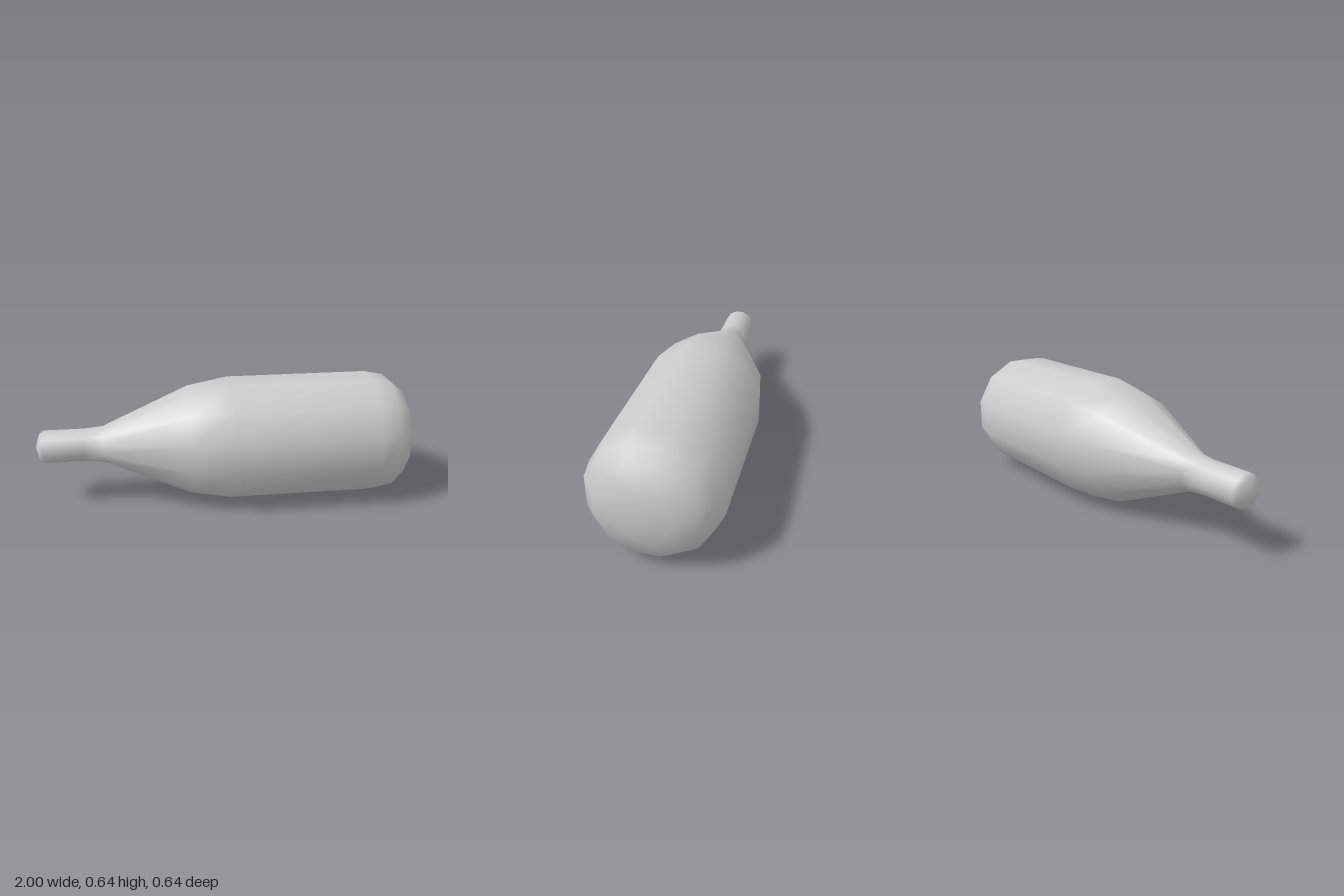
import * as THREE from 'three';
import { mergeVertices } from 'three/addons/utils/BufferGeometryUtils.js';

const SIDES = 12;
const HALF_HEIGHT = 0.318;

// Profile along the bottle: [position on x, distance from axis to a flat side]
const PROFILE = [
  [-1, 0], [-0.978, 0.066], [-0.955, 0.083], // closed mouth
  [-0.75, 0.083], [-0.65, 0.092],            // neck
  [-0.2, 0.28], [0.015, HALF_HEIGHT],        // shoulder
  [0.77, HALF_HEIGHT],                       // body
  [0.872, 0.3], [0.948, 0.238], [0.987, 0.13], [1, 0], // rounded base
];

export function createModel() {
  const group = new THREE.Group();
  group.name = 'bottle';

  // Twelve-sided turned shape, laid on its side with a flat facing down
  const toCorner = 1 / Math.cos(Math.PI / SIDES);
  const points = PROFILE.map(([x, r]) => new THREE.Vector2(r * toCorner, x));
  let geometry = new THREE.LatheGeometry(points, SIDES, Math.PI / SIDES);
  geometry.rotateZ(-Math.PI / 2);

  // Weld the seam and both tips for smooth shading all round
  geometry.deleteAttribute('uv');
  geometry.deleteAttribute('normal');
  geometry = mergeVertices(geometry, 1e-4);
  geometry.computeVertexNormals();

  const body = new THREE.Mesh(geometry, new THREE.MeshStandardMaterial({ color: 0xcccccc }));
  body.name = 'bottleBody';
  body.position.y = 0.32;
  group.add(body);
  return group;
}
